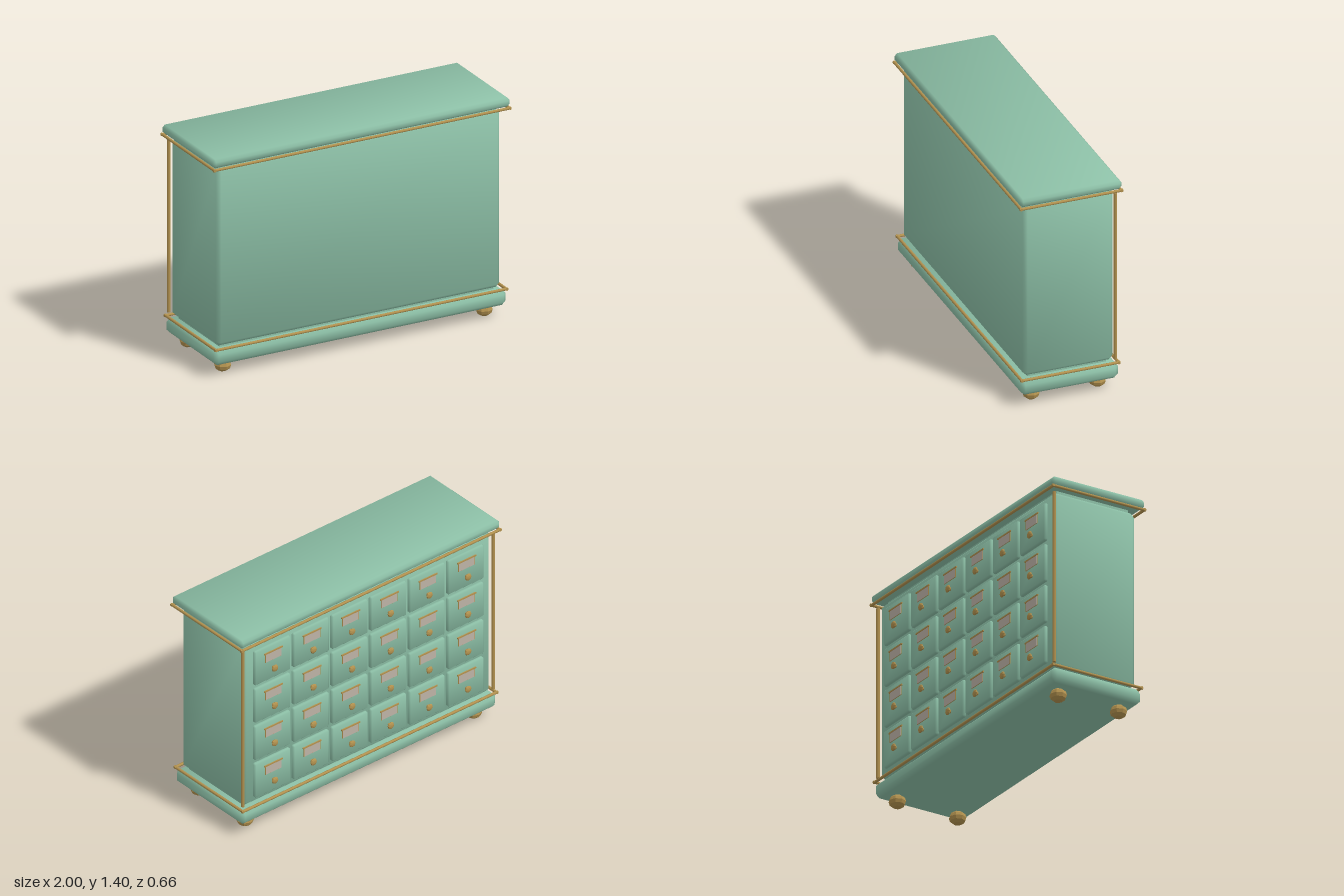
import * as THREE from 'three';
import { ConvexGeometry } from 'three/addons/geometries/ConvexGeometry.js';

const green = new THREE.MeshStandardMaterial({ color: 0x8cbfa6 });
green.name = 'sage paint';
const brass = new THREE.MeshStandardMaterial({ color: 0xb3924f });
brass.name = 'brass';
const paper = new THREE.MeshStandardMaterial({ color: 0xbdb2a6 });
paper.name = 'label paper';

// Box with chamfered edges; normals lean outward at the corners for a soft look
function softBox(w, h, d, b) {
  const half = [w / 2, h / 2, d / 2];
  const points = [];
  for (const sx of [-1, 1]) for (const sy of [-1, 1]) for (const sz of [-1, 1]) {
    for (let full = 0; full < 3; full++) {
      const c = [sx, sy, sz].map((s, i) => s * (half[i] - (i === full ? 0 : b)));
      points.push(new THREE.Vector3(...c));
    }
  }
  const geo = new ConvexGeometry(points);
  const pos = geo.attributes.position;
  const n = new THREE.Vector3();
  for (let i = 0; i < pos.count; i++) {
    const p = [pos.getX(i), pos.getY(i), pos.getZ(i)];
    n.set(...p.map((v, k) => Math.sign(v) * (Math.abs(v) > half[k] - b / 2 ? 1 : 0.36))).normalize();
    geo.attributes.normal.setXYZ(i, n.x, n.y, n.z);
  }
  return geo;
}

// Faceted low-poly ball, squashed along y
function facetedBall(r, squash) {
  const geo = new THREE.SphereGeometry(r, 8, 6).scale(1, squash, 1).toNonIndexed();
  geo.computeVertexNormals();
  return geo;
}

function add(parent, name, geo, mat, x, y, z) {
  const mesh = new THREE.Mesh(geo, mat);
  mesh.name = name;
  mesh.position.set(x, y, z);
  parent.add(mesh);
  return mesh;
}

// Rectangle of four round brass rods
function trimFrame(name, x, z, y, r, cz) {
  const frame = new THREE.Group();
  frame.name = name;
  const long = new THREE.CylinderGeometry(r, r, 2 * (x + r), 8).rotateZ(Math.PI / 2);
  const short = new THREE.CylinderGeometry(r, r, 2 * (z + r), 8).rotateX(Math.PI / 2);
  for (const s of [-1, 1]) {
    add(frame, 'longRod', long, brass, 0, 0, s * z);
    add(frame, 'shortRod', short, brass, s * x, 0, 0);
  }
  frame.position.set(0, y, cz);
  return frame;
}

export function createModel() {
  const cabinet = new THREE.Group();
  cabinet.name = 'drawerCabinet';
  const cz = 0.004;

  // Carcass
  add(cabinet, 'base', softBox(1.964, 0.097, 0.62, 0.025), green, 0, 0.126, cz);
  add(cabinet, 'body', softBox(1.904, 1.132, 0.572, 0.024), green, 0, 0.756, 0.003);
  add(cabinet, 'top', softBox(1.995, 0.057, 0.643, 0.016), green, 0, 1.3715, cz);
  add(cabinet, 'topNeck', new THREE.BoxGeometry(1.84, 0.04, 0.5), green, 0, 1.33, cz);
  add(cabinet, 'baseNeck', new THREE.BoxGeometry(1.84, 0.04, 0.5), green, 0, 0.18, cz);

  // Brass trim
  cabinet.add(trimFrame('topTrim', 0.991, 0.318, 1.335, 0.009, cz));
  cabinet.add(trimFrame('baseTrim', 0.975, 0.307, 0.183, 0.009, cz));
  const post = new THREE.CylinderGeometry(0.011, 0.011, 1.104, 8);
  const foot = facetedBall(0.053, 0.8);
  for (const s of [-1, 1]) {
    add(cabinet, 'cornerRod', post, brass, s * 0.962, 0.759, -0.288);
    for (const z of [-0.207, 0.214]) add(cabinet, 'foot', foot, brass, s * 0.878, 0.0425, z);
  }

  // Drawers on the -z side, four rows of six
  const panel = softBox(0.277, 0.24, 0.04, 0.009);
  const labelBack = new THREE.BoxGeometry(0.126, 0.062, 0.004);
  const label = new THREE.BoxGeometry(0.118, 0.055, 0.004);
  const bar = new THREE.BoxGeometry(0.142, 0.009, 0.009);
  const stem = new THREE.CylinderGeometry(0.009, 0.011, 0.022, 8).rotateX(-Math.PI / 2);
  const knob = facetedBall(0.024, 0.42).rotateX(Math.PI / 2);
  for (let row = 0; row < 4; row++) {
    for (let col = 0; col < 6; col++) {
      const drawer = new THREE.Group();
      drawer.name = 'drawer';
      drawer.position.set((col - 2.5) * 0.297, 0.355 + row * 0.265, 0);
      add(drawer, 'drawerFront', panel, green, 0, 0, -0.284);
      add(drawer, 'labelFrame', labelBack, brass, 0, 0.047, -0.305);
      add(drawer, 'label', label, paper, 0, 0.045, -0.3065);
      add(drawer, 'labelBar', bar, brass, 0, 0.078, -0.306);
      add(drawer, 'knobStem', stem, brass, 0, -0.04, -0.312);
      add(drawer, 'knob', knob, brass, 0, -0.04, -0.321);
      cabinet.add(drawer);
    }
  }
  return cabinet;
}
